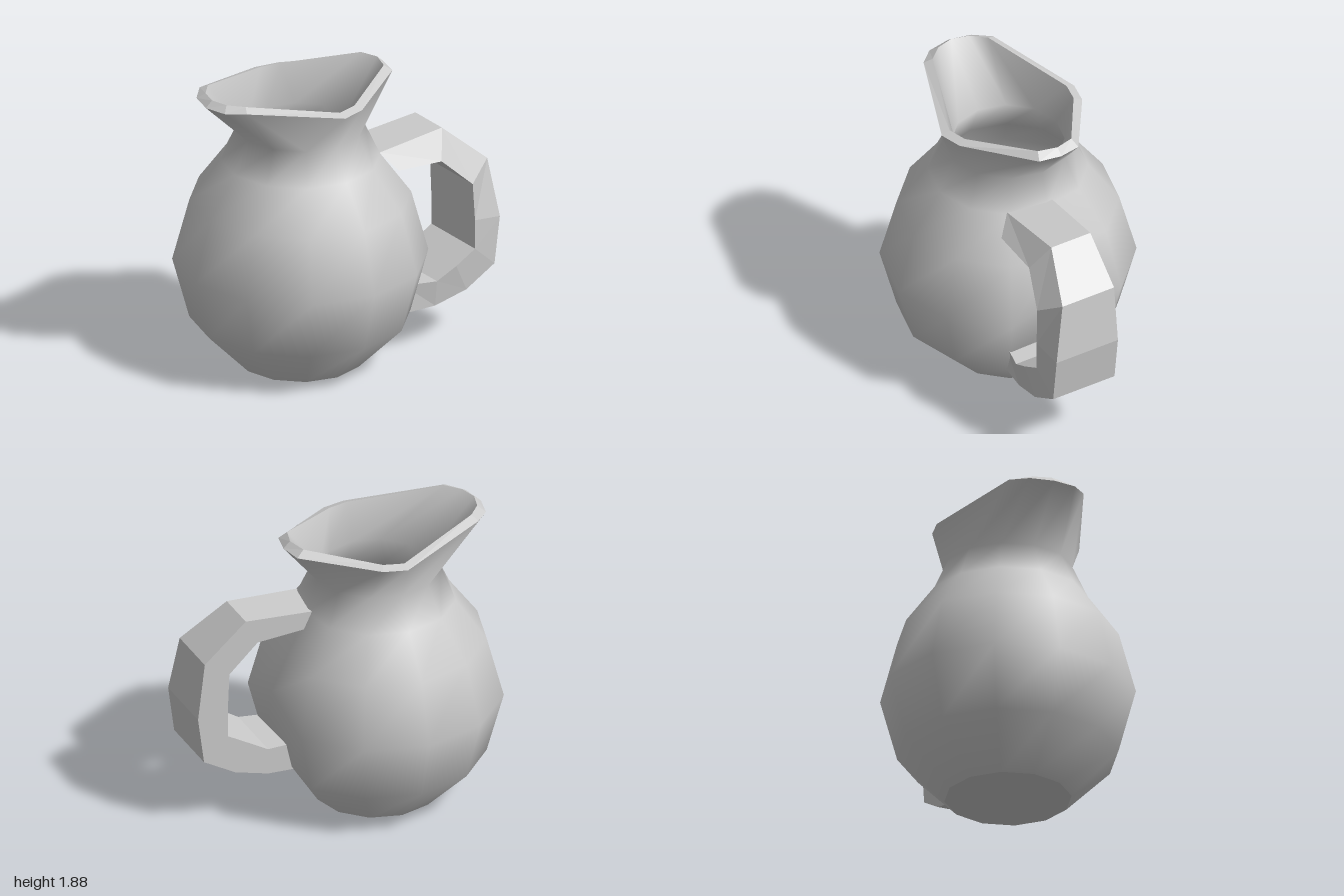
import * as THREE from 'three';

const SIDES = 12, CZ = 0.21;
const material = new THREE.MeshStandardMaterial({ color: 0xcccccc });
const flatMaterial = new THREE.MeshStandardMaterial({ color: 0xcccccc, flatShading: true });

// Skin a list of closed loops of [x, y, z] points
function loft(loops) {
  const n = loops[0].length, index = [];
  for (let r = 0; r < loops.length - 1; r++) {
    for (let c = 0; c < n; c++) {
      const a = r * n + c, b = r * n + (c + 1) % n;
      index.push(a, b, b + n, a, b + n, a + n);
    }
  }
  const geometry = new THREE.BufferGeometry();
  geometry.setAttribute('position', new THREE.Float32BufferAttribute(loops.flat(2), 3));
  geometry.setIndex(index);
  geometry.computeVertexNormals();
  return geometry;
}

// Twelve-sided ring; the rear point can be pulled in to flatten the back
function ring([y, r, backZ, backY = y]) {
  const points = [];
  for (let i = 0; i < SIDES; i++) {
    const a = i / SIDES * Math.PI * 2;
    points.push([Math.sin(a) * r, y, CZ + Math.cos(a) * r]);
  }
  if (backZ !== undefined) points[6] = [0, backY, backZ];
  return points;
}

// Complete a half loop (front to back) by mirroring it across x
function mirrorLoop(half) {
  return [...half, ...half.slice(1, -1).reverse().map(([x, y, z]) => [-x, y, z])];
}

export function createModel() {
  const group = new THREE.Group();
  const add = (name, geometry, mat) => {
    const mesh = new THREE.Mesh(geometry, mat);
    mesh.name = name;
    group.add(mesh);
    return mesh;
  };

  // Lip: pinched sides, long pouring spout in front
  const lipOuter = mirrorLoop([
    [0, 1.84, 0.915], [0.15, 1.845, 0.88], [0.25, 1.855, 0.785], [0.475, 1.76, 0.21],
    [0.44, 1.765, 0.06], [0.14, 1.81, -0.38], [0, 1.815, -0.41]]);
  const lipInner = mirrorLoop([
    [0, 1.88, 0.87], [0.11, 1.88, 0.84], [0.2, 1.88, 0.76], [0.42, 1.78, 0.21],
    [0.39, 1.785, 0.08], [0.12, 1.85, -0.33], [0, 1.855, -0.365]]);

  // Outer wall, bottom to lip
  const outer = [
    [0, 0.39], [0.295, 0.68, -0.37], [0.685, 0.785, -0.49, 0.83],
    [1.075, 0.68, -0.375], [1.335, 0.49, -0.25], [1.54, 0.395]];
  add('body', loft([...outer.map(ring), lipOuter]), material);
  add('rim', loft([lipOuter, lipInner]), flatMaterial);

  // Inner wall, lip down to floor
  const inner = [
    [1.54, 0.345], [1.32, 0.44, -0.2], [1.06, 0.63, -0.32],
    [0.685, 0.735, -0.43, 0.83], [0.31, 0.63, -0.32], [0.05, 0.345]];
  add('innerWall', loft([lipInner, ...inner.map(ring)]), material);

  // Floor and base discs
  const floor = add('floor', new THREE.CircleGeometry(0.345, SIDES), material);
  floor.rotation.x = -Math.PI / 2;
  floor.position.set(0, 0.05, CZ);
  const base = add('base', new THREE.CircleGeometry(0.39, SIDES), material);
  base.rotation.x = Math.PI / 2;
  base.position.set(0, 0, CZ);

  // Handle sections: outer edge [z, y, right x], inner edge [z, y, right x]
  const left = -0.04;
  const sections = [
    [[-0.2, 1.35, 0.26], [-0.28, 1.24, 0.35]],
    [[-0.68, 1.385, 0.24], [-0.6, 1.22, 0.35]],
    [[-0.955, 1.145, 0.33], [-0.79, 1.04, 0.41]],
    [[-1, 0.77, 0.4], [-0.8, 0.8, 0.42]],
    [[-0.96, 0.465, 0.4], [-0.8, 0.61, 0.42]],
    [[-0.75, 0.345, 0.4], [-0.66, 0.53, 0.42]],
    [[-0.53, 0.285, 0.38], [-0.53, 0.455, 0.4]],
    [[-0.3, 0.275, 0.35], [-0.32, 0.46, 0.35]]];
  add('handle', loft(sections.map(([o, i]) => [
    [left, o[1], o[0]], [o[2], o[1], o[0]], [i[2], i[1], i[0]], [left, i[1], i[0]]])), flatMaterial);

  return group;
}
